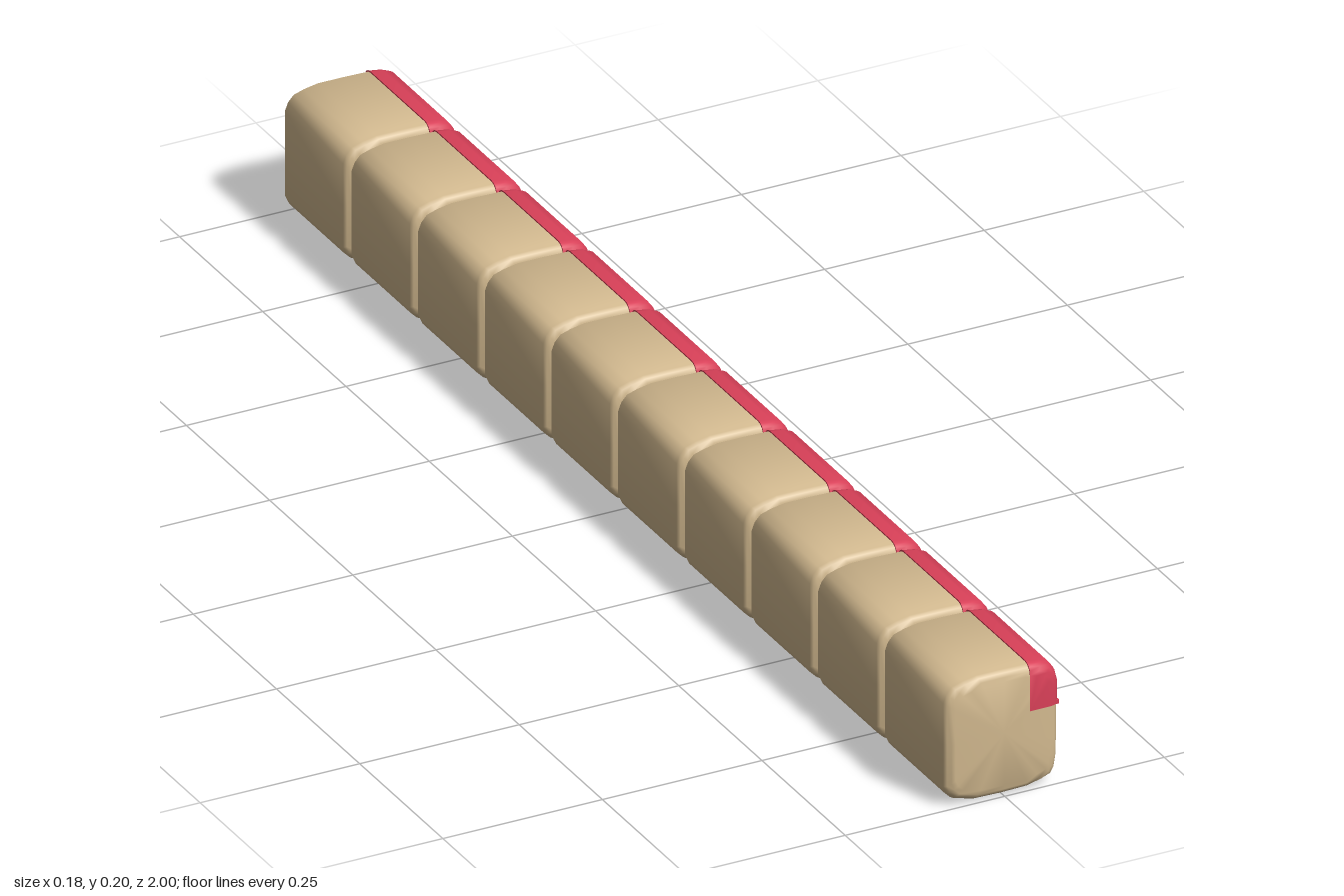
import * as THREE from 'three';
import { toCreasedNormals } from 'three/addons/utils/BufferGeometryUtils.js';

const COUNT = 10, HALF = 0.0975, CY = 0.1, ROUND = 0.016;

// Block cross-section, counter-clockwise seen from the front
const PROFILE = [
  [0.087, 0.125], [0.087, 0.16], [0.083, 0.176], [0.075, 0.187], [0.06, 0.193], [0.04, 0.196],
  [0, 0.197], [-0.04, 0.197], [-0.062, 0.193], [-0.078, 0.188], [-0.087, 0.178], [-0.092, 0.165],
  [-0.092, 0.1], [-0.092, 0.032], [-0.087, 0.021], [-0.077, 0.011], [-0.045, 0.002], [0, 0.001],
  [0.04, 0.002], [0.062, 0.007], [0.078, 0.013], [0.083, 0.022], [0.086, 0.04], [0.087, 0.07],
];

// Loft the section along z with rounded ends; rule(x, y) may adjust each point
function loft(half, grow, rule) {
  const rings = [];
  for (let i = 0; i <= 4; i++) {
    const a = (i / 4) * Math.PI / 2;
    rings.push([half - ROUND * (1 - Math.sin(Math.PI / 2 - a)), ROUND * (1 - Math.cos(Math.PI / 2 - a))]);
  }
  const all = [...rings.map(([z, d]) => [-z, d]), ...rings.reverse().map(([z, d]) => [z, d])];
  const pos = [], idx = [], n = PROFILE.length;
  for (const [z, d] of all) {
    const s = 1 + (grow - d) / 0.094;
    for (const [x, y] of PROFILE) {
      const p = rule(x * s, CY + (y - CY) * s);
      pos.push(p[0], p[1], z);
    }
  }
  for (let r = 0; r < all.length - 1; r++) {
    for (let i = 0; i < n; i++) {
      const j = (i + 1) % n, a = r * n + i, b = r * n + j;
      idx.push(a, b, b + n, a, b + n, a + n);
    }
  }
  // End caps
  const c = rule(0, CY), last = (all.length - 1) * n, back = pos.length / 3;
  pos.push(c[0], c[1], all[0][0], c[0], c[1], all[all.length - 1][0]);
  for (let i = 0; i < n; i++) {
    const j = (i + 1) % n;
    idx.push(back, j, i, back + 1, last + i, last + j);
  }
  const g = new THREE.BufferGeometry();
  g.setAttribute('position', new THREE.Float32BufferAttribute(pos, 3));
  g.setIndex(idx);
  return toCreasedNormals(g, 1);
}

// Wavy lower edge of the icing, extruded out from the side
function dripGeometry() {
  const edge = [
    [-0.092, 0.124], [-0.075, 0.119], [-0.068, 0.103], [-0.061, 0.097], [-0.055, 0.103], [-0.049, 0.117],
    [-0.032, 0.121], [-0.02, 0.113], [-0.008, 0.116], [0.002, 0.107], [0.009, 0.103], [0.016, 0.109],
    [0.03, 0.114], [0.044, 0.111], [0.055, 0.119], [0.07, 0.117], [0.08, 0.123], [0.092, 0.124],
  ].map(([u, y]) => new THREE.Vector2(u, y));
  const shape = new THREE.Shape();
  shape.moveTo(0.092, 0.128);
  shape.lineTo(-0.092, 0.128);
  shape.lineTo(edge[0].x, edge[0].y);
  shape.splineThru(edge.slice(1));
  const g = new THREE.ExtrudeGeometry(shape, {
    depth: 0.004, bevelEnabled: true, bevelSize: 0.0012, bevelThickness: 0.0012, bevelSegments: 2, curveSegments: 56,
  });
  g.rotateY(Math.PI / 2).translate(0.0835, 0, 0);
  return toCreasedNormals(g, 0.9);
}

export function createModel() {
  const group = new THREE.Group();
  const tan = new THREE.MeshStandardMaterial({ color: 0xd2b98f });
  const red = new THREE.MeshStandardMaterial({ color: 0xd84058 });

  const bodyGeo = loft(HALF, 0, (x, y) => [x, y]);
  // Icing: the same section clamped to its upper left corner
  const icingGeo = loft(HALF + 0.001, 0.001, (x, y) => [Math.max(x, 0.04), Math.max(y, 0.125)]);
  const dripGeo = dripGeometry();
  const beadGeo = new THREE.SphereGeometry(1, 12, 8);
  const beads = [[-0.061, 0.102, 0.006], [0.009, 0.107, 0.005], [0.043, 0.113, 0.005]];

  const end = 1 - HALF - 0.001;
  for (let i = 0; i < COUNT; i++) {
    const block = new THREE.Group();
    block.name = 'block' + (i + 1);
    block.position.z = end - (2 * end * i) / (COUNT - 1);
    const add = (geo, mat, name) => {
      const m = new THREE.Mesh(geo, mat);
      m.name = name;
      block.add(m);
      return m;
    };
    add(bodyGeo, tan, 'blockBody');
    add(icingGeo, red, 'icing');
    add(dripGeo, red, 'icingDrips');
    // Swollen drip tips
    for (const [u, y, r] of beads) {
      const bead = add(beadGeo, red, 'dripTip');
      bead.position.set(0.087, y, -u);
      bead.scale.set(0.0045, r * 1.2, r);
    }
    group.add(block);
  }
  return group;
}
